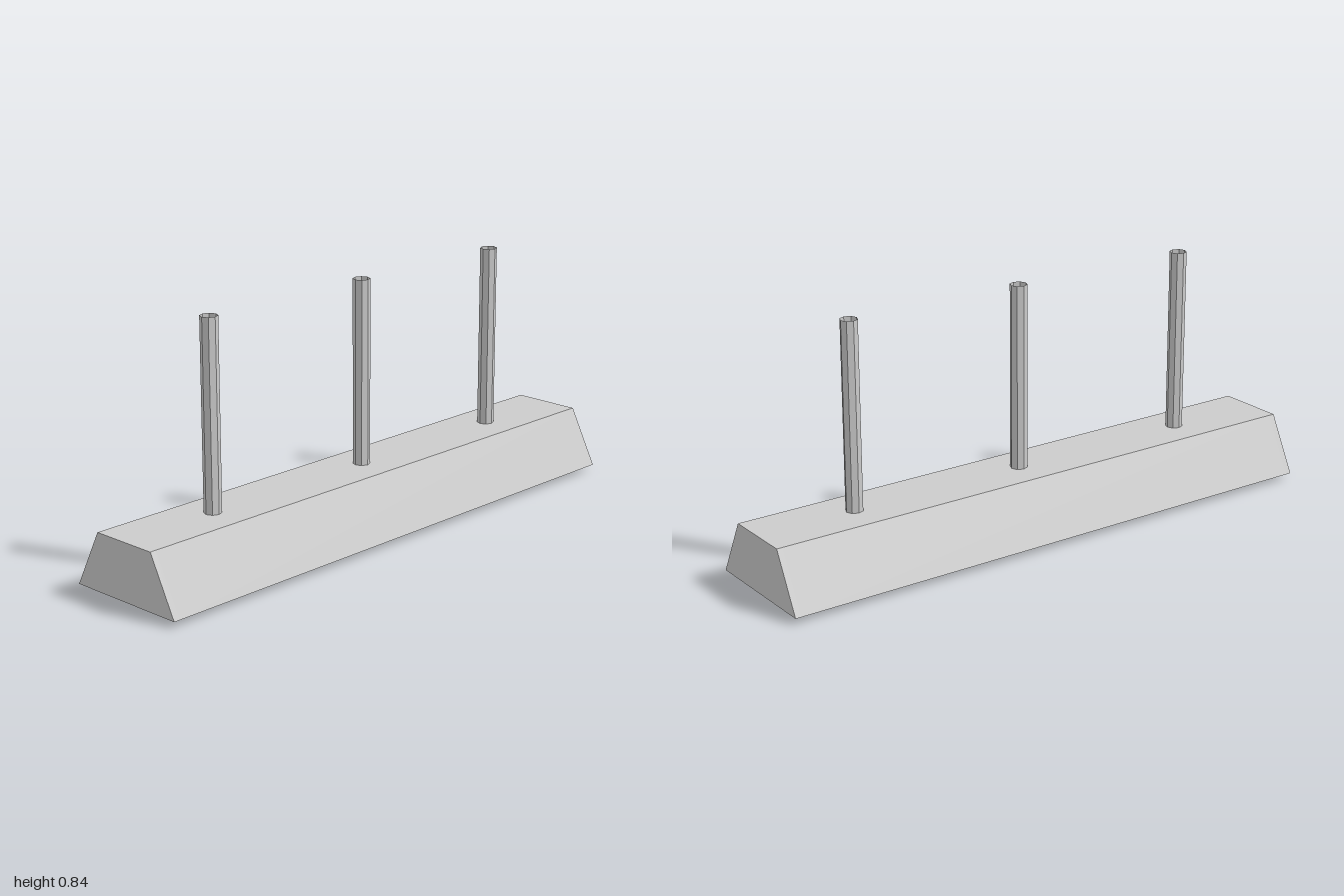
import * as THREE from 'three';

const material = new THREE.MeshStandardMaterial({ color: 0xcccccc, side: THREE.DoubleSide });
const flat = new THREE.MeshStandardMaterial({ color: 0xcccccc, side: THREE.DoubleSide, flatShading: true });

// Extrudes a (z, y) cross-section along x, starting at x0
function extrudeAlongX(points, x0, length) {
  const shape = new THREE.Shape(points.map(([z, y]) => new THREE.Vector2(z, y)));
  const geometry = new THREE.ExtrudeGeometry(shape, { depth: length, bevelEnabled: false });
  return geometry.rotateY(Math.PI / 2).translate(x0, 0, 0);
}

export function createModel() {
  const model = new THREE.Group();
  model.name = 'pendantLight';

  const add = (name, geometry, mat, parent = model) => {
    const mesh = new THREE.Mesh(geometry, mat);
    mesh.name = name;
    parent.add(mesh);
    return mesh;
  };

  // Trapezoid shade, hollow and open underneath
  const wall = 0.02;
  const outer = [[-0.218, 0.02], [0.218, 0.02], [0.12, 0.212], [-0.12, 0.212]];
  const channel = [
    [-0.218, 0.02], [-0.197, 0.02], [-0.108, 0.194], [0.108, 0.194],
    [0.197, 0.02], [0.218, 0.02], [0.12, 0.212], [-0.12, 0.212],
  ];
  const shade = new THREE.Group();
  shade.name = 'shade';
  model.add(shade);
  add('shadeChannel', extrudeAlongX(channel, -1 + wall, 2 - 2 * wall), flat, shade);
  add('shadeEndRight', extrudeAlongX(outer, -1, wall), flat, shade);
  add('shadeEndLeft', extrudeAlongX(outer, 1 - wall, wall), flat, shade);

  // Open hanging tubes
  const tube = new THREE.CylinderGeometry(0.0285, 0.0285, 0.625, 8, 1, true);
  for (const x of [-0.642, 0.022, 0.655]) {
    add('hangingTube', tube, flat).position.set(x, 0.5245, 0);
  }

  // Bulbs: round glass flowing into a neck, with a narrower screw base
  const r = 0.06;
  const profile = [];
  for (let i = 0; i <= 12; i++) {
    const a = (i / 12) * Math.PI * 0.72;
    profile.push(new THREE.Vector2(r * Math.sin(a), r - r * Math.cos(a)));
  }
  profile.push(new THREE.Vector2(0.038, 0.118), new THREE.Vector2(0.035, 0.14), new THREE.Vector2(0.027, 0.148));
  const glass = new THREE.LatheGeometry(profile, 24);
  const base = new THREE.CylinderGeometry(0.026, 0.026, 0.05, 16);
  for (const x of [-0.66, -0.27, 0.14, 0.585]) {
    const bulb = new THREE.Group();
    bulb.name = 'bulb';
    bulb.position.set(x, 0, 0.003);
    add('bulbGlass', glass, material, bulb);
    add('bulbBase', base, material, bulb).position.y = 0.171;
    model.add(bulb);
  }
  return model;
}
